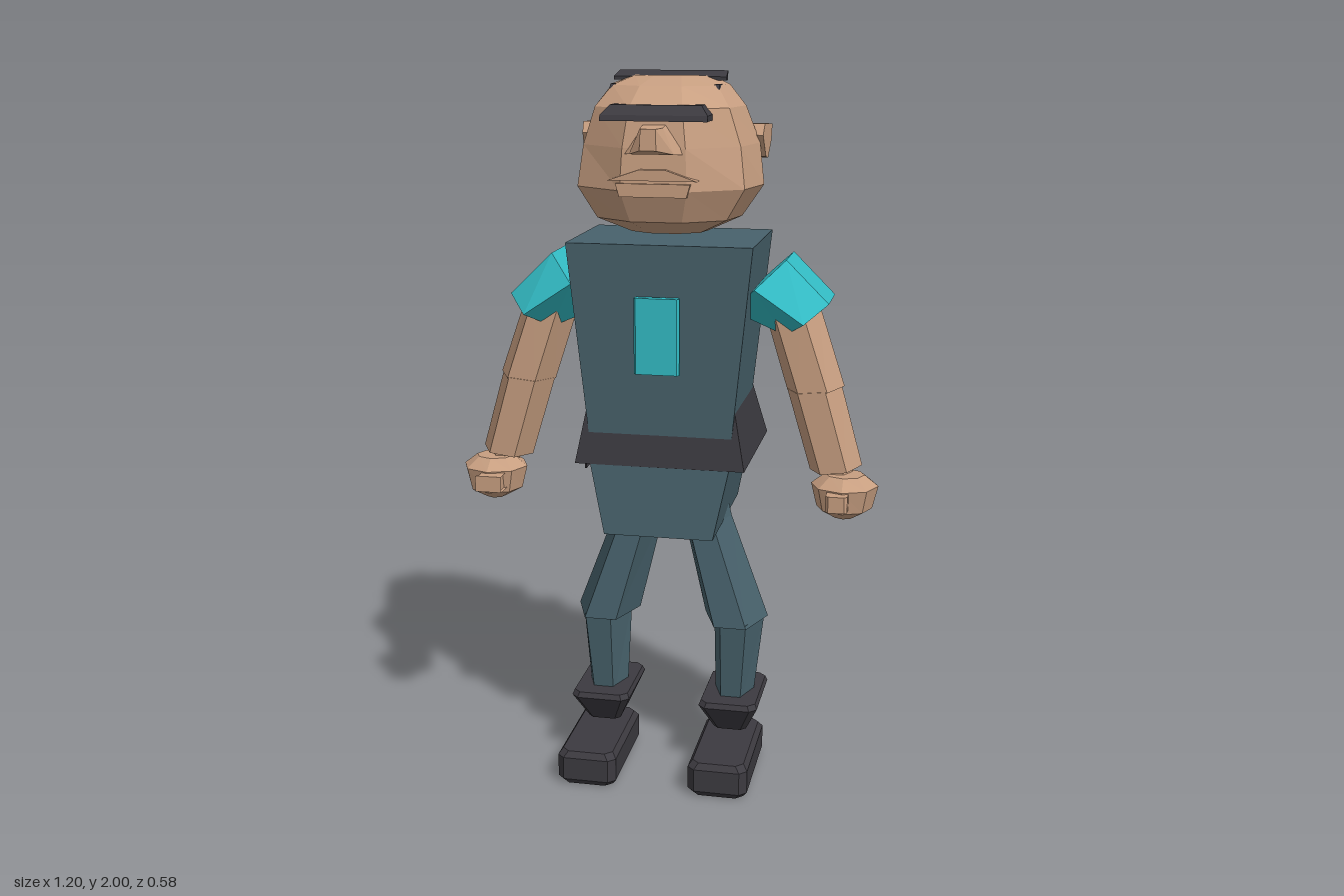
import * as THREE from 'three';

const mat = (name, color) => {
  const m = new THREE.MeshStandardMaterial({ color });
  m.name = name;
  return m;
};

// Ring of n points around centre c, spanned by vectors u (cosine) and v (sine)
const ring = (c, u, v, n, phase = 0) => Array.from({ length: n }, (_, i) => {
  const a = phase + (i / n) * Math.PI * 2;
  return c.map((p, k) => p + Math.cos(a) * u[k] + Math.sin(a) * v[k]);
});
const flatRing = (x, y, z, rx, rz, n, phase) => ring([x, y, z], [rx, 0, 0], [0, 0, rz], n, phase);
// Horizontal rectangle
const rect = (y, x0, x1, z0, z1) => [[x0, y, z0], [x1, y, z0], [x1, y, z1], [x0, y, z1]];
// Horizontal rectangle with cut corners
const cutRect = (y, x0, x1, z0, z1, c) => [
  [x0 + c, y, z0], [x1 - c, y, z0], [x1, y, z0 + c], [x1, y, z1 - c],
  [x1 - c, y, z1], [x0 + c, y, z1], [x0, y, z1 - c], [x0, y, z0 + c]];

// Closed, flat-shaded solid through cross-sections; always wound outward
function loft(rings) {
  const tris = [], n = rings[0].length;
  for (let r = 0; r < rings.length - 1; r++) {
    for (let i = 0; i < n; i++) {
      const j = (i + 1) % n, [p, q] = [rings[r], rings[r + 1]];
      tris.push([p[i], q[i], q[j]], [p[i], q[j], p[j]]);
    }
  }
  const a = rings[0], b = rings[rings.length - 1];
  for (let i = 1; i < n - 1; i++) tris.push([a[0], a[i], a[i + 1]], [b[0], b[i + 1], b[i]]);
  const o = new THREE.Vector3(...a[0]);
  let volume = 0;
  for (const t of tris) {
    const [p, q, s] = t.map((v) => new THREE.Vector3(...v).sub(o));
    volume += p.dot(q.cross(s));
  }
  if (volume < 0) tris.forEach((t) => t.reverse());
  const g = new THREE.BufferGeometry();
  g.setAttribute('position', new THREE.Float32BufferAttribute(tris.flat(2), 3));
  g.computeVertexNormals();
  return g;
}

export function createModel() {
  const skin = mat('skin', 0xc89f81);
  const slate = mat('slate cloth', 0x48626c);
  const teal = mat('teal cloth', 0x33bcc5);
  const dark = mat('dark leather', 0x3c3a40);

  const model = new THREE.Group();
  model.name = 'figure';
  const add = (name, material, rings, parent = model) => {
    const m = new THREE.Mesh(loft(rings), material);
    m.name = name;
    parent.add(m);
    return m;
  };
  const group = (name) => {
    const g = new THREE.Group();
    g.name = name;
    model.add(g);
    return g;
  };

  // Trunk
  add('torso', slate, [rect(0.95, -0.195, 0.195, -0.18, 0.145), rect(1.55, -0.257, 0.257, -0.213, 0.162)]);
  add('belt', dark, [rect(0.93, -0.24, 0.24, -0.29, 0.16), rect(1.1, -0.207, 0.207, -0.2, 0.135)]);
  add('hips', slate, [rect(0.73, -0.155, 0.155, -0.275, 0.172), rect(0.945, -0.2, 0.2, -0.24, 0.155)]);
  add('chestPlate', teal, [
    cutRect(1.2, -0.063, 0.063, 0.166, 0.19, 0.006), cutRect(1.41, -0.063, 0.063, 0.166, 0.19, 0.006)]);
  add('hipFlap', dark, [rect(0.85, -0.268, -0.264, -0.2, -0.06), rect(0.93, -0.264, -0.258, -0.25, -0.03),
    rect(1.04, -0.26, -0.255, -0.22, -0.05)]);

  // Head: nine-sided, with a flat face and a ridge at the back [y, rx, front z, back z]
  const head = group('head');
  add('skull', skin, [
    [1.572, 0.11, 0.09, -0.07], [1.615, 0.205, 0.19, -0.14], [1.7, 0.263, 0.225, -0.19],
    [1.81, 0.247, 0.215, -0.225], [1.91, 0.21, 0.195, -0.172], [1.965, 0.165, 0.125, -0.12],
    [1.988, 0.11, 0.03, -0.09],
  ].map(([y, rx, zf, zb]) => {
    const rz = (zf - zb) / 1.94;
    return flatRing(0, y, zb + rz, rx, rz, 9, -Math.PI / 2);
  }), head);
  add('hairPatch', dark, [
    [[-0.155, 1.975, 0], [0.155, 1.975, 0], [0.155, 1.985, 0], [-0.155, 1.985, 0]],
    [[-0.15, 1.975, -0.055], [0.15, 1.975, -0.055], [0.15, 2, -0.055], [-0.15, 2, -0.055]],
    [[-0.105, 1.965, -0.125], [0.105, 1.965, -0.125], [0.105, 1.98, -0.125], [-0.105, 1.98, -0.125]]], head);
  add('brow', dark, [rect(1.88, -0.143, 0.143, 0.15, 0.223), rect(1.895, -0.143, 0.143, 0.14, 0.218),
    rect(1.92, -0.122, 0.122, 0.13, 0.19)], head);
  // Nose: wide nostrils narrowing to a blunt tip
  add('nose', skin, [
    [[-0.085, 1.795, 0.205], [0.085, 1.795, 0.205], [0.03, 1.87, 0.2], [-0.03, 1.87, 0.2]],
    [[-0.06, 1.797, 0.24], [0.06, 1.797, 0.24], [0.03, 1.865, 0.24], [-0.03, 1.865, 0.24]],
    [[-0.022, 1.81, 0.288], [0.022, 1.81, 0.288], [0.02, 1.865, 0.285], [-0.02, 1.865, 0.285]]], head);
  add('upperLip', skin, [0.2, 0.236].map((z) => [
    [-0.12, 1.728, z], [0, 1.738, z], [0.12, 1.728, z], [0.035, 1.757, z], [-0.035, 1.757, z]]), head);
  add('lowerLip', skin, [rect(1.685, -0.09, 0.09, 0.18, 0.231), rect(1.72, -0.1, 0.1, 0.18, 0.231)], head);

  for (const s of [1, -1]) {
    const side = s > 0 ? 'left' : 'right';
    add(`${side}Ear`, skin, [0.19, 0.258].map((x, i) => [
      [-0.025, 1.83], [-0.045, 1.86], [-0.13, 1.855], [-0.12, 1.81], [-0.085, 1.765], [-0.06, 1.77],
    ].map(([z, y]) => [s * (x - i * (z + 0.08) * 0.1), y, z])), head);
    add(`${side}TempleHair`, dark, [rect(1.955, s * 0.132, s * 0.15, 0.025, 0.08),
      rect(1.968, s * 0.135, s * 0.148, 0.03, 0.07)], head);

    // Arm
    const arm = group(`${side}Arm`);
    add('sleeve', teal, [
      ring([s * 0.255, 1.43, -0.045], [s * 0.087, 0.083, 0], [0, 0, 0.165], 6, Math.PI / 6),
      ring([s * 0.39, 1.34, -0.038], [s * 0.069, 0.052, 0], [0, 0, 0.163], 6, Math.PI / 6)], arm);
    add('upperArm', skin, [
      ring([s * 0.34, 1.37, -0.012], [s * 0.072, 0.025, 0], [0, 0, 0.1], 6),
      ring([s * 0.415, 1.142, 0.002], [s * 0.08, 0.008, 0], [0, 0, 0.092], 6)], arm);
    add('forearm', skin, [
      ring([s * 0.412, 1.145, 0.008], [s * 0.076, 0.008, 0], [0, 0, 0.088], 6),
      ring([s * 0.478, 0.918, 0.012], [s * 0.073, 0.01, 0], [0, 0, 0.082], 6)], arm);
    add('wrist', skin, [flatRing(s * 0.49, 0.87, 0.03, 0.04, 0.045, 6),
      flatRing(s * 0.478, 0.93, 0.015, 0.045, 0.05, 6)], arm);
    add('fist', skin, [
      [0.788, 0.03, 0.035], [0.815, 0.078, 0.078], [0.88, 0.094, 0.09], [0.91, 0.055, 0.05],
    ].map(([y, rx, rz]) => flatRing(s * 0.507, y, 0.048, rx, rz, 8)), arm);
    add('thumb', skin, [cutRect(0.83, s * 0.453, s * 0.513, 0.1, 0.165, 0.008),
      cutRect(0.876, s * 0.453, s * 0.513, 0.1, 0.165, 0.008)].map((r) => r.map(([x, y, z]) => [x + s * 0.012, y, z])), arm);

    // Leg
    const leg = group(`${side}Leg`);
    add('thigh', slate, [
      flatRing(s * 0.085, 0.79, -0.057, 0.075, 0.122, 6),
      flatRing(s * 0.1, 0.735, -0.057, 0.072, 0.124, 6),
      flatRing(s * 0.192, 0.435, -0.045, 0.093, 0.145, 6)], leg);
    add('calf', slate, [
      flatRing(s * 0.2, 0.445, -0.045, 0.075, 0.14, 6),
      flatRing(s * 0.19, 0.17, -0.025, 0.055, 0.085, 6)], leg);
    add('bootCuff', dark, [
      cutRect(0.11, s * 0.19 - 0.048, s * 0.19 + 0.048, -0.09, 0.06, 0.015),
      cutRect(0.195, s * 0.19 - 0.086, s * 0.19 + 0.086, -0.145, 0.115, 0.02),
      cutRect(0.21, s * 0.19 - 0.08, s * 0.19 + 0.08, -0.138, 0.108, 0.02)], leg);
    add('shoe', dark, [[0.005, 0.012], [0.017, 0], [0.083, 0], [0.1, 0.012]].map(([y, i]) =>
      cutRect(y - 0.005 * (i > 0 && y < 0.05), s * 0.19 - 0.085 + i, s * 0.19 + 0.085 - i, -0.06 + i, 0.283 - i, 0.02)), leg);
  }
  return model;
}
